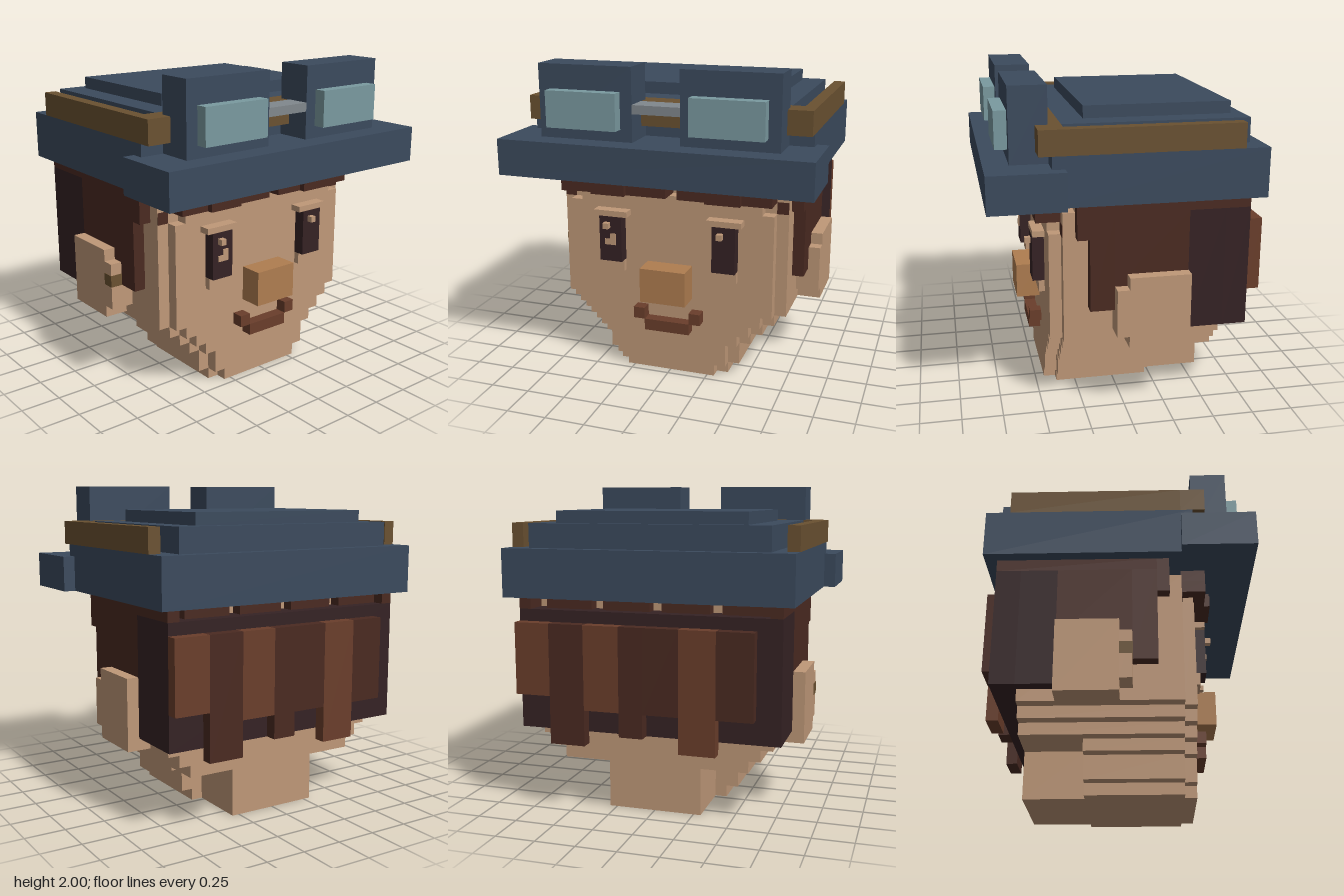
import * as THREE from 'three';

const U = 2 / 27; // one block of the grid

export function createModel() {
  const model = new THREE.Group();
  model.name = 'blockHead';

  const mat = (name, color) => {
    const m = new THREE.MeshStandardMaterial({ color });
    m.name = name;
    return m;
  };
  const skin = mat('skin', 0xbf9878), nosePaint = mat('noseTan', 0xaf7d50);
  const hair = mat('hairBrown', 0x4a2a21), hairDark = mat('hairDark', 0x352224);
  const hairLight = mat('hairLight', 0x6a3e2b), cloth = mat('capBlue', 0x3b4a5d);
  const glass = mat('lensGlass', 0x7a9aa0), leather = mat('strapLeather', 0x6a5131);
  const metal = mat('bridgeMetal', 0x81888d);

  // Box from minimum to maximum in grid units
  const box = (name, m, x0, x1, y0, y1, z0, z1) => {
    const mesh = new THREE.Mesh(new THREE.BoxGeometry((x1 - x0) * U, (y1 - y0) * U, (z1 - z0) * U), m);
    mesh.position.set((x0 + x1) / 2 * U, (y0 + y1) / 2 * U, (z0 + z1) / 2 * U);
    mesh.name = name;
    model.add(mesh);
  };
  // The same box on both sides of x = 0
  const pair = (name, m, x0, x1, ...rest) => {
    box(name + 'Left', m, x0, x1, ...rest);
    box(name + 'Right', m, -x1, -x0, ...rest);
  };

  // Stepped jaw: half width, bottom, top, back
  for (const [w, y0, y1, zb] of [[5, 0, 1, -3], [6, 1, 3, -3], [7, 3, 4, -3], [8, 4, 5, -8], [9, 5, 6, -8]]) {
    box('jawStep', skin, -w, w, y0, y1, zb, 5);
    box('jawFront', skin, 1 - w, w - 1, y0, y1, 5, 6);
  }
  box('neck', skin, -4, 4, 0, 4, -8, -3);

  // Skull and face
  box('skull', skin, -10, 10, 6, 17, -8, 5);
  box('skullTop', skin, -10, 10, 17, 18, -8, 4);
  box('face', skin, -9, 9, 6, 15, 5, 6);
  box('forehead', skin, -8, 8, 15, 16, 5, 6);

  // Ears
  pair('ear', skin, 10, 12, 6, 12, -5, 0);
  pair('earFront', skin, 10, 12, 7, 11, 0, 1);
  box('earring', leather, -12.05, -11, 9, 10, 0, 1.05);

  // Eyes
  pair('eye', hairDark, 4, 6, 10, 14, 6, 7);
  pair('upperLid', skin, 3.5, 6.5, 14, 14.5, 6, 7);
  pair('lowerLid', skin, 4, 6, 9, 10, 6, 6.5);
  for (const x of [-5.5, 4.5]) box('eyeGlint', skin, x, x + 0.5, 13, 13.5, 7, 7.5);
  box('eyeFleck', skin, -5.5, -4.5, 11.5, 12, 7, 7.1);
  box('eyeFleckTop', skin, -5, -4.5, 12, 12.5, 7, 7.1);

  // Nose and mouth
  box('nose', nosePaint, -2, 2, 7, 10, 6, 8);
  box('mouth', hairLight, -2, 2, 4, 5, 6, 7);
  pair('mouthCorner', hairLight, 2, 3, 5, 6, 6, 7);

  // Fringe with small notches, and eyebrows
  box('fringeRight', hair, -9, 0, 16, 17, 5, 7);
  box('fringeLeft', hair, 1, 9, 16, 17, 5, 7);
  for (const [a, b] of [[-9, -5], [-4, 0], [1, 5], [6, 9]]) box('fringeTop', hair, a, b, 17, 18, 5, 7);
  for (const x of [0, 10]) {
    box('eyebrow', hair, x - 6.5, x - 3.5, 16, 17, 7, 7.5);
    box('eyebrowTop', hair, x - 6, x - 4.5, 17, 17.5, 7, 7.5);
  }

  // Hair at the sides
  pair('sideHair', hair, 10, 11, 11, 17, -5, 1);
  pair('sideburn', hair, 10, 11, 9, 17, 1, 3);
  pair('templeHair', hair, 10, 11, 15, 18, 3, 4);
  pair('templeTip', hair, 9, 9.98, 15, 16, 4, 5.05);
  pair('sideHairTop', hair, 10, 11, 17, 18, -10, 3);
  pair('sideHairBack', hairDark, 10, 11, 7, 17, -8, -5);

  // Hair at the back, with hanging locks: x range, bottom, colour
  box('backHair', hairDark, -11, 11, 7, 17, -10, -8);
  for (const x of [-10, -5, 0, 5]) box('backHairTop', hair, x, x + 4, 17, 18, -9, -8);
  for (const [a, b, y, m] of [
    [8, 11, 10, hairLight], [5, 8, 6, hair], [2, 5, 9, hairLight], [0, 2, 7, hair],
    [-3, 0, 9, hair], [-6, -3, 6, hairLight], [-9, -6, 9, hair],
  ]) box('backLock', m, a, b, y, 16, -11, -10);

  // Cap
  box('capBand', cloth, -12, 12, 18, 22, -11, 6);
  box('capBrim', cloth, -13, 13, 18, 21, 5, 11);
  box('capCrown', cloth, -10, 10, 22, 24, -10, 5);
  box('capTop', cloth, -8, 8, 24, 25, -9, 3);

  // Goggles
  pair('goggleStrap', leather, 11, 12, 22, 24, -9, 5);
  box('goggleStrapFront', leather, -12, 12, 22, 24, 5, 7);
  pair('goggleFrame', cloth, 2, 10, 21, 27, 6, 9);
  pair('goggleLens', glass, 3, 9, 22, 25, 9, 10);
  box('goggleBridge', metal, -2, 2, 23.3, 24.03, 7, 9);
  return model;
}
